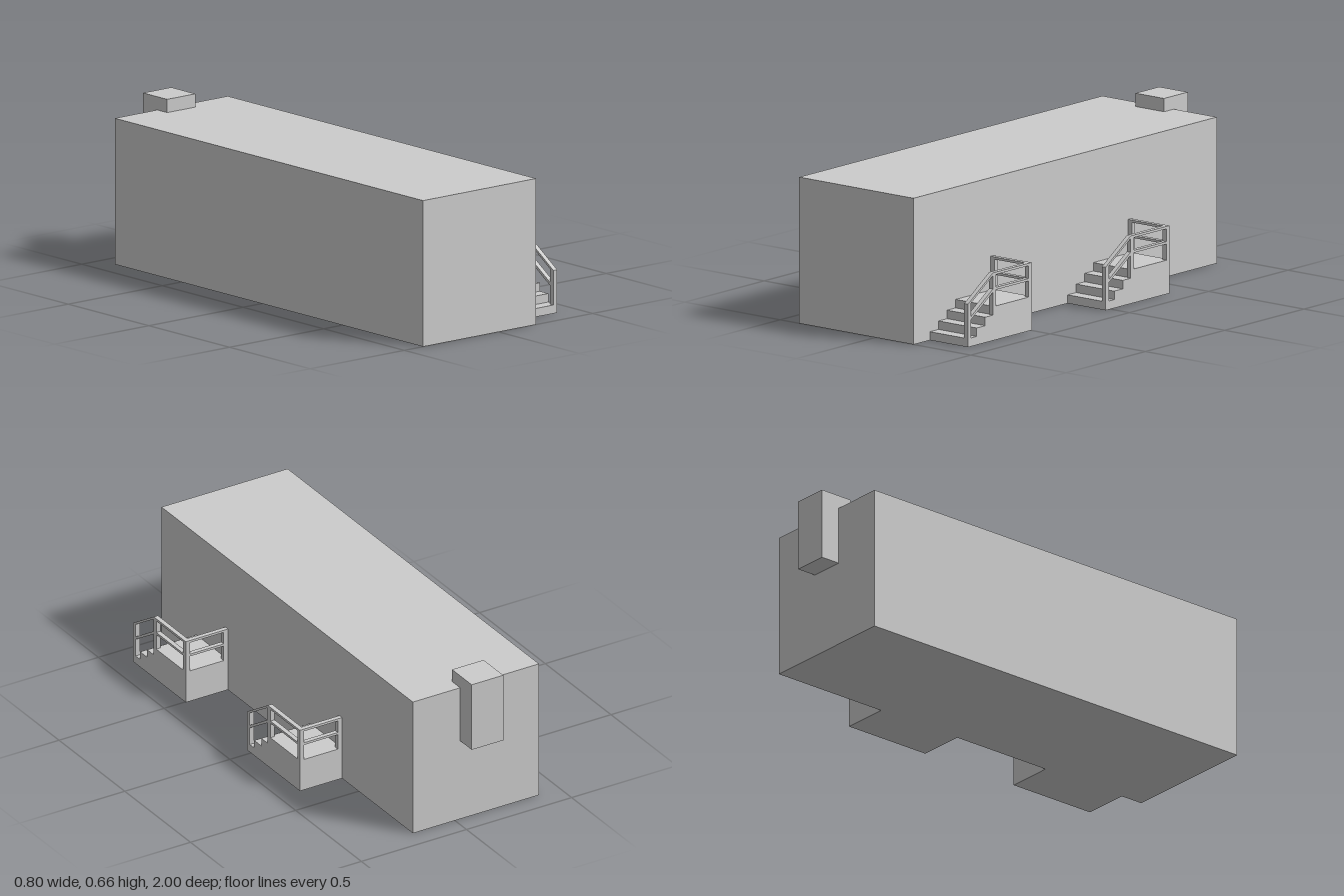
import * as THREE from 'three';

const material = new THREE.MeshStandardMaterial({ color: 0xcccccc, flatShading: true });

// Box given by its minimum and maximum corners
function block(name, [x0, y0, z0], [x1, y1, z1]) {
  const mesh = new THREE.Mesh(new THREE.BoxGeometry(x1 - x0, y1 - y0, z1 - z0), material);
  mesh.position.set((x0 + x1) / 2, (y0 + y1) / 2, (z0 + z1) / 2);
  mesh.name = name;
  return mesh;
}

const points = (list) => list.map(([a, b]) => new THREE.Vector2(a, b));

function panel(outline, holes, depth) {
  const shape = new THREE.Shape(points(outline));
  holes.forEach((hole) => shape.holes.push(new THREE.Path(points(hole))));
  return new THREE.ExtrudeGeometry(shape, { depth, bevelEnabled: false });
}

const rect = (x0, y0, x1, y1) => [[x0, y0], [x1, y0], [x1, y1], [x0, y1]];

// Stair edges measured from the back of the landing
const LENGTH = 0.402, LANDING = 0.24, RISE = 0.035, RUN = 0.054;
const WIDTH = 0.2, POST = 0.02;
const railTop = 0.28, kneeEnd = 0.245, slope = 0.65;
const slopeY = (s, top) => top - slope * (s - kneeEnd);

function createStair() {
  const stair = new THREE.Group();
  stair.name = 'entranceStair';

  // Solid landing and steps between the wall and the side panel
  const profile = [[0, 0], [LENGTH, 0], [LENGTH, RISE]];
  for (let i = 2; i >= 0; i--) {
    const s = LANDING + RUN * i;
    profile.push([s, RISE * (3 - i)], [s, RISE * (4 - i)]);
  }
  profile.push([0, RISE * 4]);
  const stepsGeometry = panel(profile, [], WIDTH - POST);
  stepsGeometry.rotateY(-Math.PI / 2).translate(WIDTH - POST, 0, 0);
  const steps = new THREE.Mesh(stepsGeometry, material);
  steps.name = 'steps';
  stair.add(steps);

  // Outer side panel with handrail, middle rail and posts
  const front = LENGTH - POST;
  const outline = [[0, 0], [LENGTH, 0], [LENGTH, slopeY(LENGTH, railTop)], [kneeEnd, railTop], [0, railTop]];
  const upperSlope = [[kneeEnd, 0.213], [front, slopeY(front, 0.213)],
    [front, slopeY(front, 0.269)], [kneeEnd, 0.269]];
  const lowerSlope = [[front, RISE], [front, slopeY(front, 0.2)], [kneeEnd, 0.2], [kneeEnd, RISE * 3]];
  for (let i = 1; i <= 2; i++) {
    const s = LANDING + RUN * i;
    lowerSlope.push([s, RISE * (4 - i)], [s, RISE * (3 - i)]);
  }
  const holes = [
    rect(POST, 0.217, kneeEnd - POST, 0.27),
    rect(POST, RISE * 4, kneeEnd - POST, 0.207),
    upperSlope, lowerSlope,
  ];
  const sideGeometry = panel(outline, holes, POST);
  sideGeometry.rotateY(-Math.PI / 2).translate(WIDTH, 0, 0);
  const side = new THREE.Mesh(sideGeometry, material);
  side.name = 'sideRailing';
  stair.add(side);

  // Railing across the back of the landing
  stair.add(
    block('wallPost', [0, RISE * 4, 0], [POST, railTop, POST]),
    block('backHandrail', [POST, 0.27, 0], [WIDTH - POST, railTop, POST]),
    block('backMiddleRail', [POST, 0.207, 0], [WIDTH - POST, 0.217, POST]),
  );
  return stair;
}

export function createModel() {
  const model = new THREE.Group();
  model.name = 'portableBuilding';
  model.add(block('building', [-0.4, 0, -0.912], [0.2, 0.605, 1]));
  // Service box hooked over the rear roof edge
  model.add(block('serviceBox', [-0.175, 0.36, -1], [-0.025, 0.66, -0.85]));
  // Two identical stairs along the left wall
  for (const z of [0.495, -0.373]) {
    const stair = createStair();
    stair.position.set(0.2, 0, z);
    model.add(stair);
  }
  return model;
}
